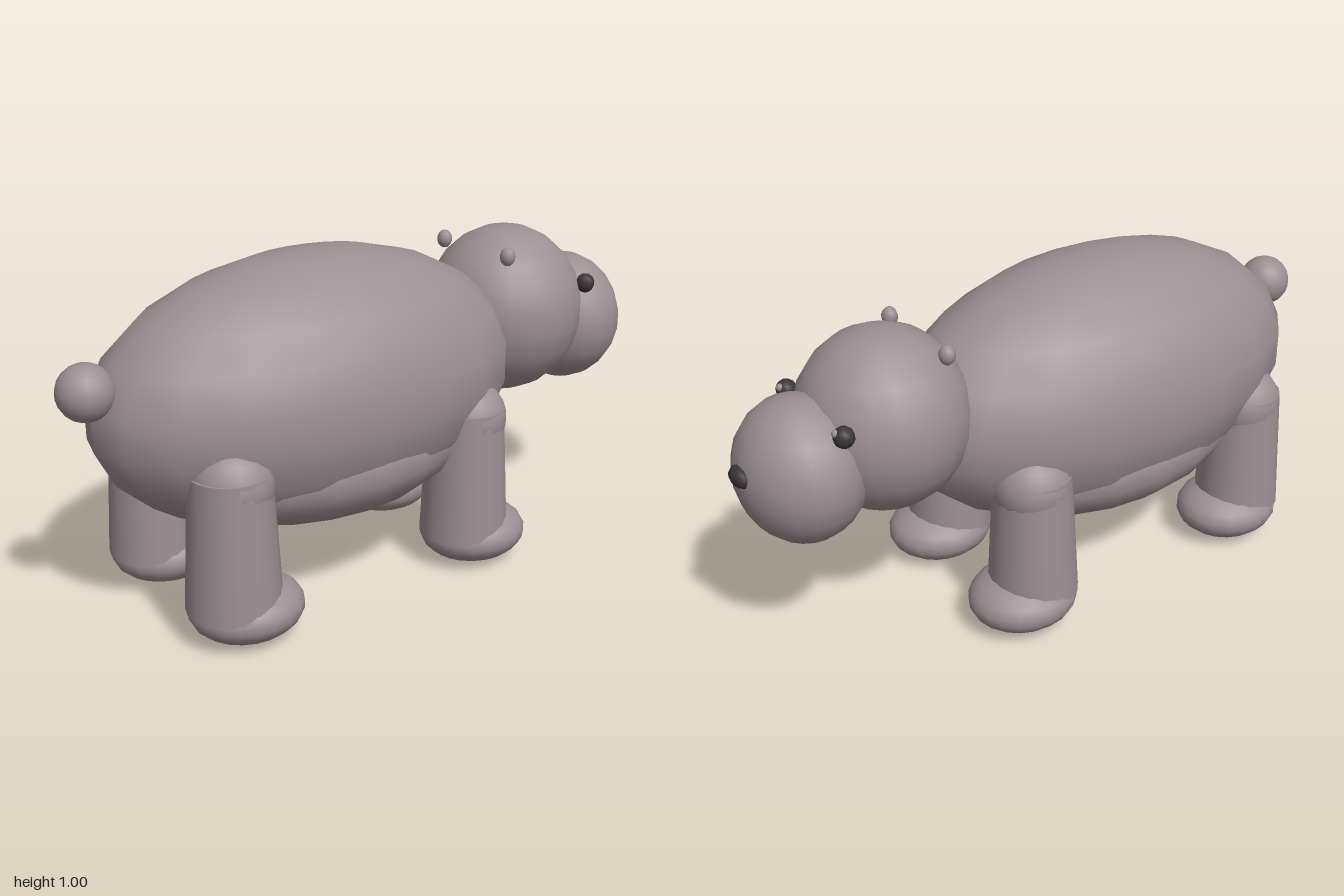
import * as THREE from 'three';

export function createModel() {
  const model = new THREE.Group();
  model.name = 'hippo';

  const hide = new THREE.MeshStandardMaterial({ color: 0x9b8f92 });
  hide.name = 'grey hide';
  const dark = new THREE.MeshStandardMaterial({ color: 0x3b3638 });
  dark.name = 'dark eyes and nose';

  const ball = new THREE.SphereGeometry(1, 20, 11);
  const smallBall = new THREE.SphereGeometry(1, 10, 7);

  // A smooth, low-segment ellipsoid
  function ellipsoid(name, parent, pos, radii, material = hide, geometry = ball) {
    const mesh = new THREE.Mesh(geometry, material);
    mesh.name = name;
    mesh.position.set(...pos);
    mesh.scale.set(...radii);
    parent.add(mesh);
    return mesh;
  }

  // Trunk, belly and tail
  ellipsoid('body', model, [-0.21, 0.6, 0], [0.705, 0.4, 0.38]);
  ellipsoid('belly', model, [-0.2, 0.42, 0], [0.51, 0.212, 0.355]);
  ellipsoid('tail', model, [-0.92, 0.72, 0], [0.08, 0.08, 0.08]);

  // Head, facing +x
  const head = new THREE.Group();
  head.name = 'head';
  model.add(head);
  ellipsoid('skull', head, [0.54, 0.697, 0], [0.252, 0.267, 0.25]);
  ellipsoid('muzzle', head, [0.8, 0.625, 0], [0.182, 0.21, 0.203]);
  ellipsoid('nose', head, [0.972, 0.66, 0], [0.028, 0.03, 0.046], dark, smallBall);

  for (const side of [1, -1]) {
    ellipsoid('eye', head, [0.745, 0.775, side * 0.16], [0.03, 0.031, 0.03], dark, smallBall);
    ellipsoid('eyeGlint', head, [0.766, 0.79, side * 0.155], [0.011, 0.011, 0.011], hide, smallBall);
    ellipsoid('ear', head, [0.416, 0.908, side * 0.148], [0.024, 0.029, 0.024], hide, smallBall);
  }

  // Legs: tapered limb with a rounded shoulder and a broad foot set forward
  const limb = new THREE.CylinderGeometry(0.115, 0.136, 0.4, 18);
  for (const [name, x] of [['frontLeg', 0.195], ['hindLeg', -0.63]]) {
    for (const side of [1, -1]) {
      const leg = new THREE.Group();
      leg.name = name;
      leg.position.set(x, 0, side * 0.227);
      model.add(leg);
      const shaft = new THREE.Mesh(limb, hide);
      shaft.name = 'limb';
      shaft.position.y = 0.3;
      leg.add(shaft);
      ellipsoid('shoulder', leg, [0.005, 0.465, 0], [0.119, 0.12, 0.119]);
      ellipsoid('foot', leg, [0.038, 0.089, 0], [0.168, 0.089, 0.153]);
    }
  }

  return model;
}
